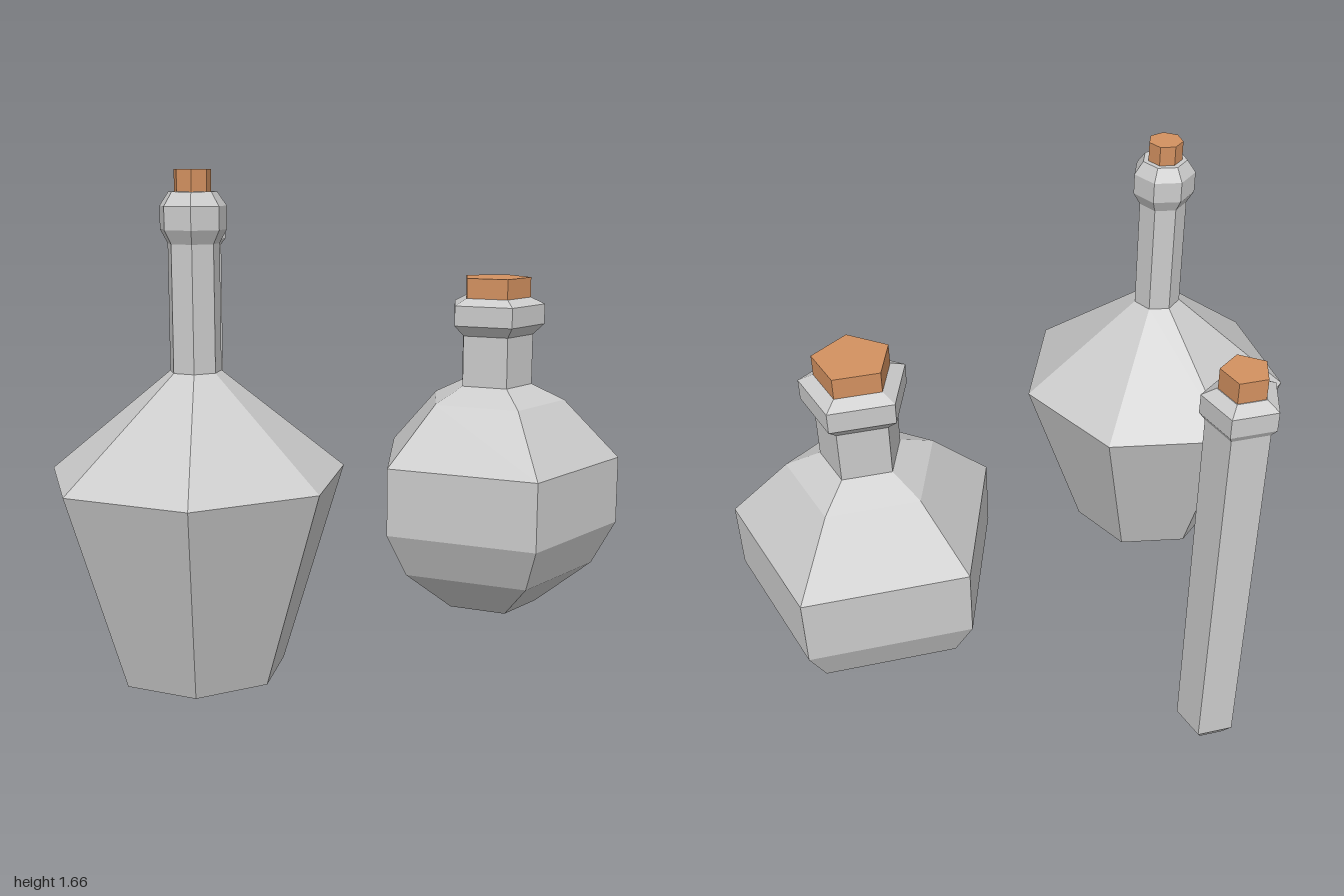
import * as THREE from 'three';

// Each profile lists [radius, height] from the base to the lip.
const BOTTLES = [
  {
    name: 'roundFlask', sides: 5, x: 0.465, z: -0.519,
    profile: [[0.183, 0], [0.392, 0.16], [0.481, 0.325], [0.481, 0.58], [0.27, 0.8],
      [0.145, 0.86], [0.145, 1.05], [0.187, 1.09], [0.187, 1.165], [0.135, 1.19]],
    cork: { radius: 0.133, top: 1.265 },
  },
  {
    name: 'conicalFlask', sides: 7, x: -0.235, z: 0.545,
    profile: [[0.29, 0], [0.505, 0.67], [0.086, 1.015], [0.086, 1.43],
      [0.111, 1.475], [0.111, 1.55], [0.08, 1.595]],
    cork: { radius: 0.061, top: 1.665 },
  },
  {
    name: 'testTube', sides: 5, x: -0.805, z: -0.498,
    profile: [[0.067, 0], [0.1035, 0.05], [0.1035, 1.36], [0.122, 1.385],
      [0.122, 1.45], [0.078, 1.475]],
    cork: { radius: 0.075, top: 1.545 },
  },
];

// Closed faceted solid of revolution with one corner pointing to the back.
function facetedSolid(name, profile, sides, material) {
  const points = [
    [0, profile[0][1]], ...profile, [0, profile[profile.length - 1][1]],
  ].map(([r, y]) => new THREE.Vector2(r, y));
  const mesh = new THREE.Mesh(new THREE.LatheGeometry(points, sides, Math.PI), material);
  mesh.name = name;
  return mesh;
}

export function createModel() {
  const glass = new THREE.MeshStandardMaterial({ color: 0xcccccc, flatShading: true });
  const corkMaterial = new THREE.MeshStandardMaterial({ color: 0xd39160, flatShading: true });
  const model = new THREE.Group();
  model.name = 'bottles';

  for (const { name, sides, x, z, profile, cork } of BOTTLES) {
    const bottle = new THREE.Group();
    bottle.name = name;
    bottle.position.set(x, 0, z);

    // Glass body, neck and collar
    bottle.add(facetedSolid('glass', profile, sides, glass));

    // Cork standing on the lip
    const lip = profile[profile.length - 1][1];
    bottle.add(facetedSolid('cork', [[cork.radius, lip - 0.01], [cork.radius, cork.top]], sides, corkMaterial));

    model.add(bottle);
  }
  return model;
}
